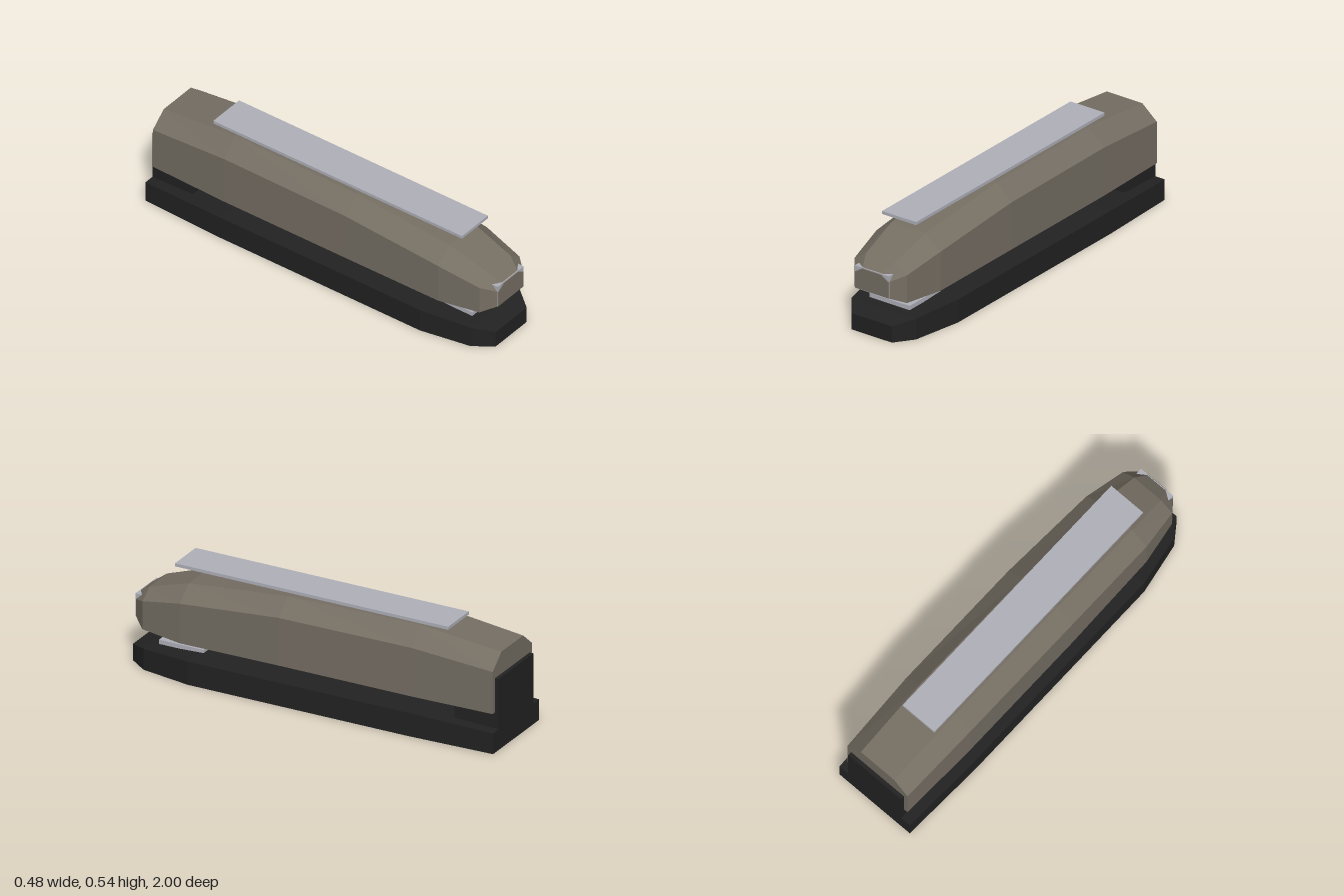
import * as THREE from 'three';

// Flat-sided loft through rings listed back to front, each counter-clockwise seen from +z
function loft(rings) {
  const n = rings[0].length;
  const positions = rings.flat(2);
  const index = [];
  for (let i = 0; i < rings.length - 1; i++) {
    for (let j = 0; j < n; j++) {
      const a = i * n + j, b = i * n + (j + 1) % n;
      index.push(a, b, b + n, a, b + n, a + n);
    }
  }
  const last = (rings.length - 1) * n;
  for (let j = 1; j < n - 1; j++) {
    index.push(0, j + 1, j, last, last + j, last + j + 1);
  }
  const geometry = new THREE.BufferGeometry();
  geometry.setAttribute('position', new THREE.Float32BufferAttribute(positions, 3));
  geometry.setIndex(index);
  const flat = geometry.toNonIndexed();
  flat.computeVertexNormals();
  return flat;
}

export function createModel() {
  const group = new THREE.Group();
  group.name = 'stapler';

  const material = (name, color) => {
    const m = new THREE.MeshStandardMaterial({ color });
    m.name = name;
    return m;
  };
  const black = material('black', 0x222222);
  const taupe = material('taupe', 0x756e63);
  const silver = material('silver', 0xb0b0ba);

  const add = (name, geometry, mat) => {
    const mesh = new THREE.Mesh(geometry, mat);
    mesh.name = name;
    group.add(mesh);
  };
  // Box given by half width and its y and z limits
  const addBox = (name, half, y0, y1, z0, z1, mat) => {
    const geometry = new THREE.BoxGeometry(half * 2, y1 - y0, z1 - z0);
    geometry.translate(0, (y0 + y1) / 2, (z0 + z1) / 2);
    add(name, geometry, mat);
  };

  // Base: z, half width, height
  const base = [
    [-1, 0.222, 0.107],
    [-0.55, 0.238, 0.12],
    [0.64, 0.238, 0.12],
    [0.905, 0.19, 0.108],
    [1, 0.12, 0.085],
  ];
  add('base', loft(base.map(([z, w, h]) => [[-w, 0, z], [w, 0, z], [w, h, z], [-w, h, z]])), black);

  // Upper body: z, half width, bottom, shoulder height, top, half width of top
  const body = [
    [-0.98, 0.19, 0.19, 0.408, 0.48, 0.105],
    [-0.55, 0.202, 0.19, 0.442, 0.525, 0.112],
    [0.17, 0.202, 0.19, 0.437, 0.513, 0.11],
    [0.71, 0.19, 0.18, 0.385, 0.455, 0.1],
    [0.93, 0.155, 0.19, 0.335, 0.383, 0.085],
    [1, 0.097, 0.225, 0.308, 0.335, 0.055],
  ];
  add('upperBody', loft(body.map(([z, w, b, s, t, k]) => [
    [-w, b, z], [w, b, z], [w, s, z], [k, t, z], [-k, t, z], [-w, s, z],
  ])), taupe);

  // Rear hinge block joining the base and the body
  addBox('hingeBlock', 0.167, 0.05, 0.367, -1, -0.76, black);

  // Metal parts
  addBox('topPlate', 0.1, 0.526, 0.542, -0.69, 0.785, silver);
  addBox('anvilPlate', 0.119, 0.115, 0.137, 0.62, 0.86, silver);
  addBox('noseGuide', 0.101, 0.222, 0.34, 0.9, 0.997, silver);

  return group;
}
